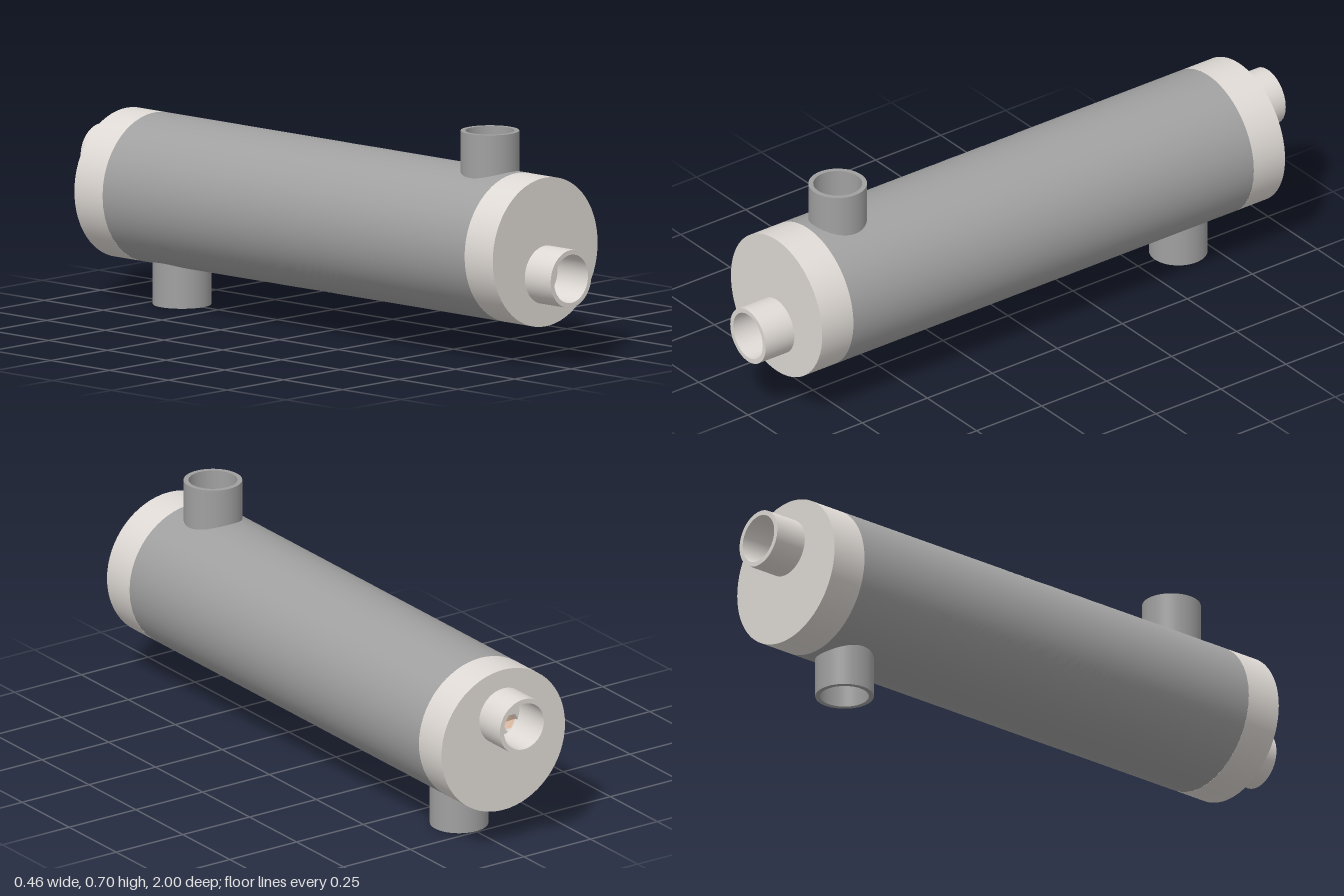
import * as THREE from 'three';
import { mergeGeometries } from 'three/addons/utils/BufferGeometryUtils.js';

const SEG = 64;
const R = 0.2315, RI = 0.215;        // shell outer and inner radius
const PORT_R = 0.09, BORE = 0.075;   // nozzle outer and inner radius
const AXIS_Y = 0.35, SHELL_END = 0.77, CAP_END = 0.89;
const PORT_Z = 0.655, SHEET_FACE = 0.79;

const material = (color, flatShading = false) =>
  new THREE.MeshStandardMaterial({ color, flatShading, side: THREE.DoubleSide });

function add(parent, name, geometry, mat) {
  const mesh = new THREE.Mesh(geometry, mat);
  mesh.name = name;
  parent.add(mesh);
  return mesh;
}

// Thick-walled pipe along z from z0 to z1, with flat rims
function pipe(ro, ri, z0, z1) {
  const wall = r => new THREE.CylinderGeometry(r, r, z1 - z0, SEG, 1, true)
    .rotateX(Math.PI / 2).translate(0, 0, (z0 + z1) / 2);
  const rim = z => new THREE.RingGeometry(ri, ro, SEG);
  return mergeGeometries([
    wall(ro), wall(ri),
    rim().translate(0, 0, z1),
    rim().rotateY(Math.PI).translate(0, 0, z0),
  ]);
}

// Disc with holes, from z0 to z1
function drilledDisc(radius, holes, z0, z1) {
  const shape = new THREE.Shape().absarc(0, 0, radius, 0, Math.PI * 2);
  shape.holes.push(...holes);
  return new THREE.ExtrudeGeometry(shape, { depth: z1 - z0, bevelEnabled: false, curveSegments: SEG })
    .translate(0, 0, z0);
}

// Half the shell length (z 0..SHELL_END) as a sheet around a round hole on top, rolled up
function portedHalf(r) {
  const side = 40, radial = 28, count = side * 4;
  const pos = [], norm = [], index = [];
  const corners = [[-1, -1], [1, -1], [1, 1], [-1, 1]];
  for (let i = 0; i <= count; i++) {
    const k = Math.floor(i / side) % 4, f = (i % side) / side;
    const a = corners[k], b = corners[(k + 1) % 4];
    const px = a[0] + (b[0] - a[0]) * f, pz = a[1] + (b[1] - a[1]) * f;
    const len = Math.hypot(px, pz);
    const holeAngle = Math.asin(BORE * px / len / r), holeZ = PORT_Z + BORE * pz / len;
    const edgeAngle = px * Math.PI, edgeZ = (pz + 1) / 2 * SHELL_END;
    for (let j = 0; j <= radial; j++) {
      const t = j / radial;
      const angle = holeAngle + (edgeAngle - holeAngle) * t;
      const nx = Math.sin(angle), ny = Math.cos(angle);
      pos.push(nx * r, ny * r, holeZ + (edgeZ - holeZ) * t);
      norm.push(nx, ny, 0);
      if (i < count && j < radial) {
        const p = i * (radial + 1) + j, q = p + radial + 1;
        index.push(p, q, p + 1, q, q + 1, p + 1);
      }
    }
  }
  // corner order chosen so that the outside is the front
  for (let n = 0; n < index.length; n += 3) {
    [index[n + 1], index[n + 2]] = [index[n + 2], index[n + 1]];
  }
  const geo = new THREE.BufferGeometry();
  geo.setAttribute('position', new THREE.Float32BufferAttribute(pos, 3));
  geo.setAttribute('normal', new THREE.Float32BufferAttribute(norm, 3));
  geo.setIndex(index);
  // make sure the winding agrees with the outward normals
  const A = new THREE.Vector3(...pos.slice(index[0] * 3, index[0] * 3 + 3));
  const B = new THREE.Vector3(...pos.slice(index[1] * 3, index[1] * 3 + 3));
  const C = new THREE.Vector3(...pos.slice(index[2] * 3, index[2] * 3 + 3));
  if (B.sub(A).cross(C.sub(A)).y < 0) geo.setIndex(index.reverse());
  return geo;
}

// Hexagonal tube that winds once around the bundle axis
function twistedTube(x, y) {
  const geo = new THREE.CylinderGeometry(0.03, 0.03, SHELL_END * 2, 6, 90, true)
    .rotateY(Math.PI / 2 - Math.PI / 3 * 1.5 + Math.PI / 6).rotateX(Math.PI / 2).translate(x, y, 0);
  const p = geo.attributes.position;
  for (let i = 0; i < p.count; i++) {
    const angle = (p.getZ(i) - SHELL_END) * Math.PI / SHELL_END;
    const c = Math.cos(angle), s = Math.sin(angle), px = p.getX(i), py = p.getY(i);
    p.setXY(i, px * c - py * s, px * s + py * c);
  }
  geo.computeVertexNormals();
  return geo;
}

export function createModel() {
  const model = new THREE.Group();
  model.name = 'heatExchanger';
  const body = new THREE.Group();
  body.name = 'exchangerBody';
  body.position.y = AXIS_Y;
  model.add(body);

  const steel = material(0xa0a0a0);
  const cream = material(0xded9d4);
  const copper = material(0xe0bfa8, true);

  // Tube centres: one in the middle, six around it
  const centres = [[0, 0]];
  for (let i = 0; i < 6; i++) {
    centres.push([0.1 * Math.cos(i * Math.PI / 3), 0.1 * Math.sin(i * Math.PI / 3)]);
  }

  // Shell halves, each with a nozzle: top at the front, bottom at the back
  ['front', 'back'].forEach((end, i) => {
    const half = new THREE.Group();
    half.name = end + 'ShellHalf';
    half.rotation.x = i * Math.PI;
    body.add(half);
    add(half, 'shellOuter', portedHalf(R), steel);
    add(half, 'shellInner', portedHalf(RI), steel);
    const nozzle = add(half, 'shellNozzle', pipe(PORT_R, BORE, 0.2, 0.35), steel);
    nozzle.rotation.x = -Math.PI / 2;
    nozzle.position.z = PORT_Z;
  });

  // End caps with an off-centre nozzle and a drilled tube sheet
  ['front', 'back'].forEach((end, i) => {
    const cap = new THREE.Group();
    cap.name = end + 'Cap';
    cap.rotation.y = i * Math.PI;
    body.add(cap);
    const portY = i ? 0.08 : -0.07;
    const bore = new THREE.Path().absarc(0, portY, BORE, 0, Math.PI * 2, true);
    add(cap, 'capRing', pipe(R, RI, SHELL_END, CAP_END), cream);
    add(cap, 'capWall', drilledDisc(RI, [bore], CAP_END - 0.02, CAP_END), cream);
    add(cap, 'capNozzle', pipe(PORT_R, BORE, CAP_END - 0.01, 1), cream).position.y = portY;
    const holes = centres.map(([x, y]) => {
      const points = [];
      for (let k = 0; k < 6; k++) {
        const a = -k * Math.PI / 3;
        points.push(new THREE.Vector2(x + 0.03 * Math.cos(a), y + 0.03 * Math.sin(a)));
      }
      return new THREE.Path(points.concat(points[0].clone()));
    });
    add(cap, 'tubeSheet', drilledDisc(RI, holes, SHELL_END, SHEET_FACE), cream);
  });

  // Twisted tube bundle
  const bundle = new THREE.Group();
  bundle.name = 'tubeBundle';
  body.add(bundle);
  centres.forEach(([x, y]) => add(bundle, 'twistedTube', twistedTube(x, y), copper));

  return model;
}
